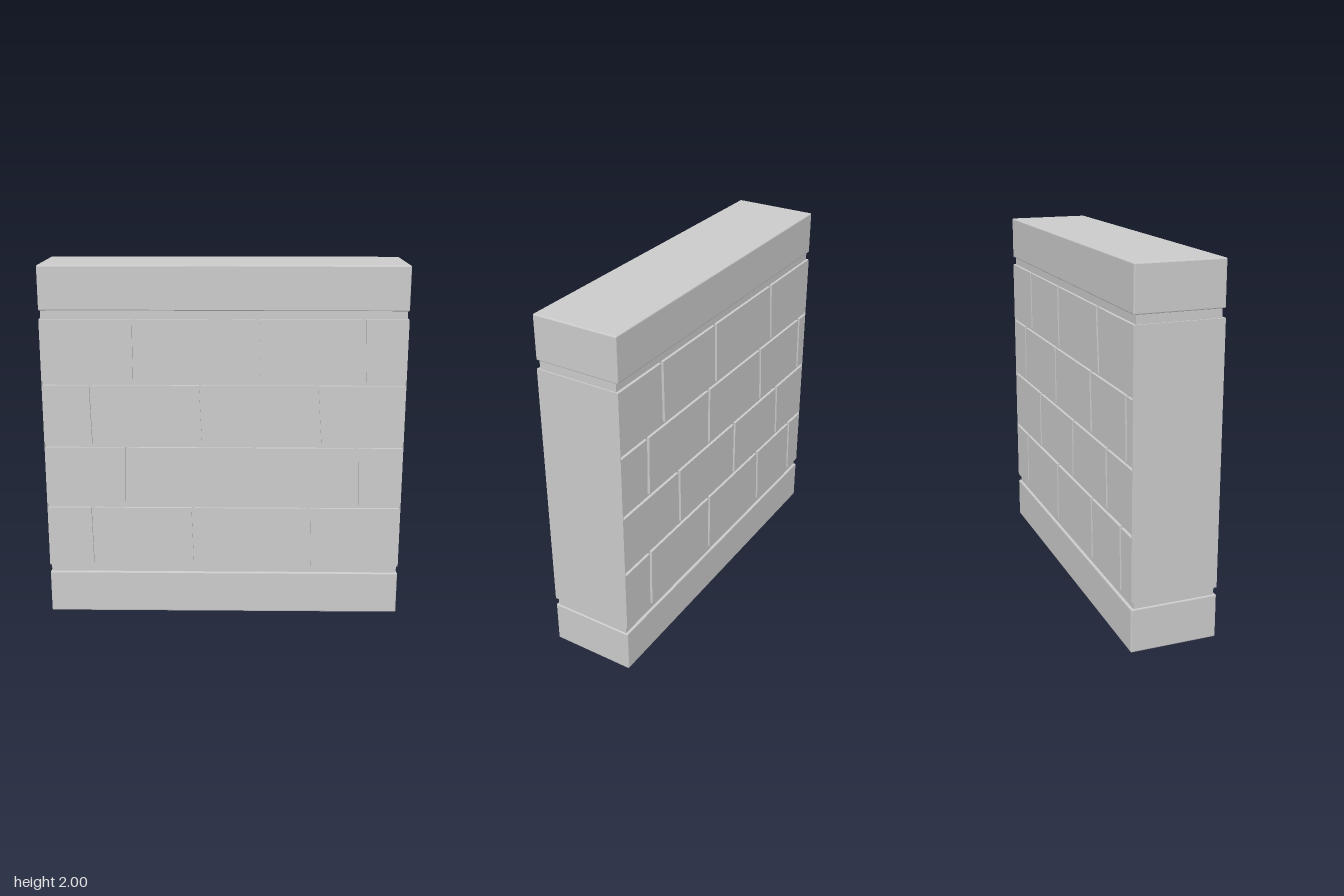
import * as THREE from 'three';
import { RoundedBoxGeometry } from 'three/addons/geometries/RoundedBoxGeometry.js';

const HALF_DEPTH = 0.24, CORE = 0.225, END = 0.996, GAP = 0.01;
const BODY_LOW = 0.285, BODY_HIGH = 1.71;

// Courses from the top down: [bottom, top]
const courses = [[1.365, BODY_HIGH], [1.01, 1.345], [0.655, 0.99], [BODY_LOW, 0.635]];

// Centres of the vertical joints in each course: [x at top, x at bottom]
const frontJoints = [
  [[-0.487, -0.487], [0.182, 0.195], [0.758, 0.773]],
  [[-0.73, -0.722], [-0.125, -0.11], [0.51, 0.535]],
  [[-0.54, -0.547], [0.17, 0.183], [0.742, 0.755]],
  [[-0.74, -0.735], [-0.172, -0.16], [0.48, 0.492]],
];
const backJoints = [
  [[0.625, 0.618], [0.11, 0.1], [-0.51, -0.54]],
  [[0.762, 0.768], [0.168, 0.168], [-0.41, -0.43], [-0.91, -0.922]],
  [[0.475, 0.468], [-0.125, -0.125], [-0.645, -0.66]],
  [[0.762, 0.768], [0.155, 0.155], [-0.422, -0.437], [-0.845, -0.86]],
];

export function createModel() {
  const group = new THREE.Group();
  const material = new THREE.MeshStandardMaterial({ color: 0xcccccc, flatShading: true });

  function add(name, geometry, parent = group) {
    const mesh = new THREE.Mesh(geometry, material);
    mesh.name = name;
    parent.add(mesh);
    return mesh;
  }
  function box(name, w, low, high, d, x = 0) {
    add(name, new THREE.BoxGeometry(w, high - low, d)).position.set(x, (low + high) / 2, 0);
  }
  // Slab with a fine bevel on every edge
  function slab(name, low, high) {
    const geometry = new RoundedBoxGeometry(2, high - low, HALF_DEPTH * 2, 1, 0.006);
    add(name, geometry).position.y = (low + high) / 2;
  }

  // Base and coping, each set off by a recessed neck
  slab('baseSlab', 0, 0.243);
  slab('copingSlab', 1.757, 2);
  box('lowerNeck', 1.985, 0.235, BODY_LOW + 0.005, CORE * 2);
  box('upperNeck', 1.985, BODY_HIGH - 0.005, 1.765, CORE * 2);

  // Core forms the bottom of the mortar joints; plain panels close the ends
  box('wallCore', END * 2, BODY_LOW, BODY_HIGH, CORE * 2);
  for (const side of [-1, 1]) {
    box(side > 0 ? 'leftEnd' : 'rightEnd', 1 - END, BODY_LOW, BODY_HIGH, HALF_DEPTH * 2, side * (1 + END) / 2);
  }

  // Four-cornered blocks between neighbouring slanted joints
  function blockFace(name, joints, zStart) {
    const face = new THREE.Group();
    face.name = name;
    group.add(face);
    courses.forEach(([low, high], row) => {
      const sorted = [...joints[row]].sort((a, b) => a[0] - b[0]);
      const stops = [[-END - GAP, -END - GAP], ...sorted, [END + GAP, END + GAP]];
      for (let i = 0; i < stops.length - 1; i++) {
        const [a, b] = [stops[i], stops[i + 1]];
        const shape = new THREE.Shape([
          new THREE.Vector2(a[1] + GAP, low),
          new THREE.Vector2(b[1] - GAP, low),
          new THREE.Vector2(b[0] - GAP, high),
          new THREE.Vector2(a[0] + GAP, high),
        ]);
        const geometry = new THREE.ExtrudeGeometry(shape, { depth: HALF_DEPTH - CORE, bevelEnabled: false });
        add('block', geometry, face).position.z = zStart;
      }
    });
  }
  blockFace('frontBlocks', frontJoints, CORE);
  blockFace('backBlocks', backJoints, -HALF_DEPTH);

  return group;
}
